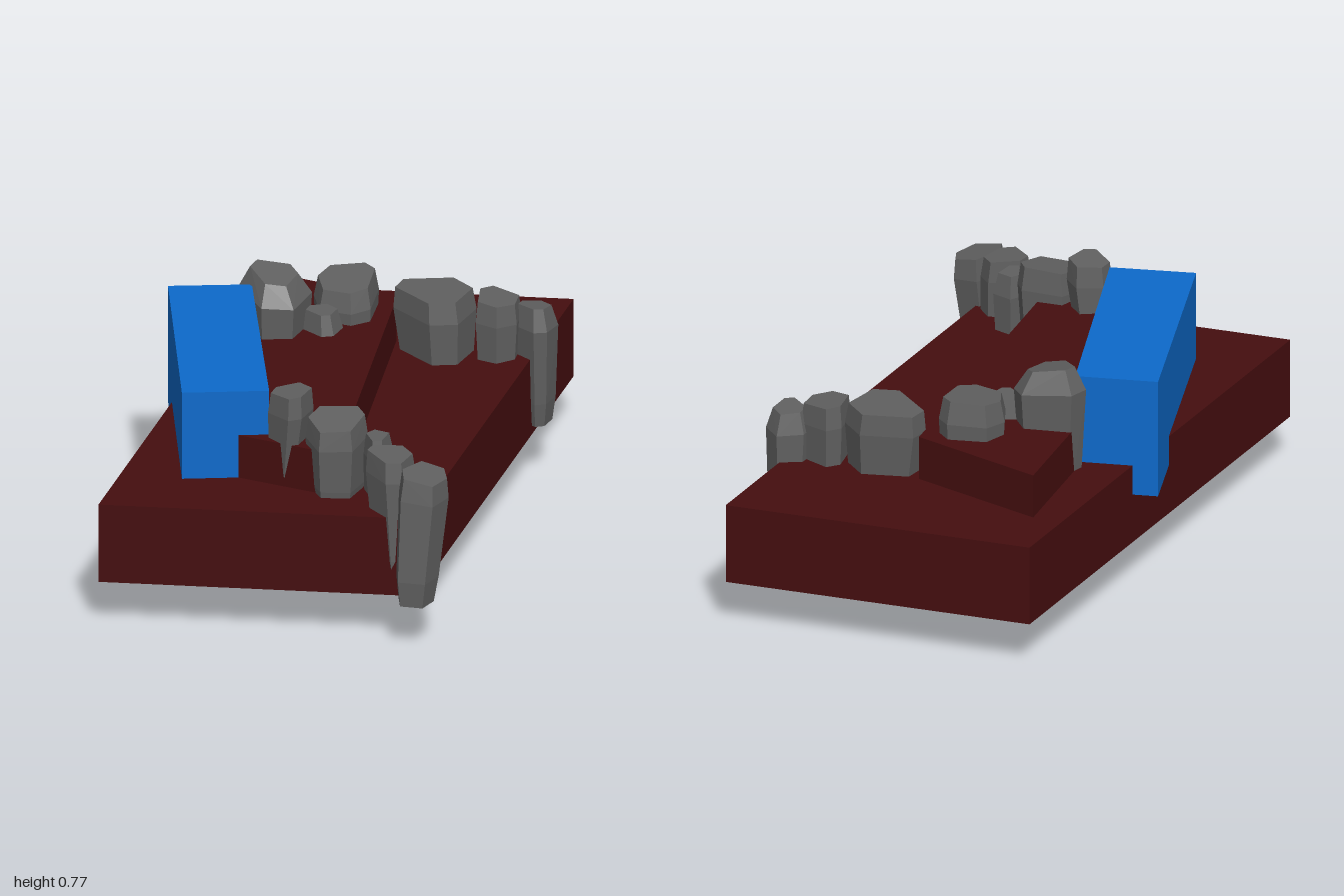
import * as THREE from 'three';
import { ConvexGeometry } from 'three/addons/geometries/ConvexGeometry.js';

const mat = (name, color) => {
  const m = new THREE.MeshStandardMaterial({ color });
  m.name = name;
  return m;
};

// Upright prism over an [x, z] outline
function prism(outline, y0, y1) {
  const shape = new THREE.Shape(outline.map(([x, z]) => new THREE.Vector2(x, -z)));
  const g = new THREE.ExtrudeGeometry(shape, { depth: y1 - y0, bevelEnabled: false });
  return g.rotateX(-Math.PI / 2).translate(0, y0, 0);
}

// Irregular polygon fitted to a unit square around the origin
function unevenPolygon(sides, turn) {
  const pts = [];
  for (let i = 0; i < sides; i++) {
    const a = turn + (i + 0.22 * Math.sin(i * 2.7 + turn * 5)) * Math.PI * 2 / sides;
    pts.push(new THREE.Vector2(Math.cos(a), Math.sin(a)));
  }
  const box = new THREE.Box2().setFromPoints(pts);
  const mid = box.getCenter(new THREE.Vector2());
  const size = box.getSize(new THREE.Vector2());
  return pts.map((p) => p.sub(mid).divide(size));
}

// Faceted stone: bevelled, tilted top; straight body; tapered, leaning foot
function stoneGeometry(x, z, width, depth, top, bottom, options) {
  const { sides = 6, turn = 0.4, cap = 0.9, taper = 0.8, leanX = 0, leanZ = 0, tiltX = 0, tiltZ = 0 } = options;
  const height = top - bottom;
  const levels = [
    { y: top, scale: cap, lean: 0, tilt: 1 },
    { y: top - 0.07, scale: 1, lean: 0.1, tilt: 0.5 },
    { y: bottom + height * 0.2, scale: (1 + taper) / 2, lean: 0.85, tilt: 0 },
    { y: bottom, scale: taper, lean: 1, tilt: 0 },
  ];
  const pts = [];
  for (const p of unevenPolygon(sides, turn)) {
    for (const { y, scale, lean, tilt } of levels) {
      const dx = p.x * width * scale, dz = p.y * depth * scale;
      pts.push(new THREE.Vector3(x + dx + leanX * lean, y + tilt * (dx * tiltX + dz * tiltZ), z + dz + leanZ * lean));
    }
  }
  return new ConvexGeometry(pts);
}

export function createModel() {
  const model = new THREE.Group();
  const earth = mat('dark red earth', 0x450e0f);
  const blue = mat('bright blue', 0x0d6acb);
  const grey = mat('grey stone', 0x606060);

  const add = (parent, name, geometry, material) => {
    const mesh = new THREE.Mesh(geometry, material);
    mesh.name = name;
    parent.add(mesh);
  };
  const stoneRow = (name) => {
    const row = new THREE.Group();
    row.name = name;
    model.add(row);
    return (...size) => {
      const options = typeof size.at(-1) === 'object' ? size.pop() : {};
      add(row, `stone${row.children.length + 1}`, stoneGeometry(...size, options), grey);
    };
  };

  // Ground slab, raised platform and blue box
  add(model, 'groundSlab', prism([[-0.64, -0.68], [-0.4, 1], [0.54, 0.68], [0.3, -1]], 0.17, 0.435), earth);
  add(model, 'raisedPlatform', prism([[-0.52, -0.5], [-0.2, 0.635], [0.25, 0.635], [-0.07, -0.49]], 0.4, 0.58), earth);
  add(model, 'blueBox', prism([[-0.617, 0.02], [-0.245, 0.718], [-0.005, 0.59], [-0.385, -0.1]], 0.335, 0.73), blue);

  // Front row, from the blue box to the slab corner
  const front = stoneRow('frontStones');
  front(0.063, 0.58, 0.125, 0.15, 0.74, 0.4, { taper: 0.5, leanX: -0.02, tiltX: 0.1 });
  front(0.215, 0.583, 0.18, 0.19, 0.675, 0.4, { turn: 0.7, tiltZ: -0.18 });
  front(0.343, 0.557, 0.09, 0.11, 0.63, 0.38, { sides: 5, cap: 0.75 });
  front(0.43, 0.643, 0.14, 0.155, 0.625, 0.2, { turn: 0.5, taper: 0.7, leanX: 0.02, tiltX: -0.12 });
  front(0.565, 0.67, 0.145, 0.17, 0.59, 0.17, { turn: 0.9, taper: 0.7, leanX: -0.01, leanZ: 0.04, tiltX: -0.2 });

  // Rear row, from the slab edge inwards
  const rear = stoneRow('rearStones');
  rear(0.355, -0.59, 0.13, 0.14, 0.6, 0.2, { cap: 0.72, taper: 0.7, leanZ: -0.01, tiltZ: 0.15 });
  rear(0.255, -0.53, 0.15, 0.145, 0.63, 0.38, { turn: 0.1, tiltX: -0.1 });
  rear(0.06, -0.472, 0.24, 0.225, 0.645, 0.01, { turn: 0.5, cap: 0.93, taper: 0.3, leanX: 0.035, leanZ: 0.01 });
  rear(-0.172, -0.345, 0.205, 0.22, 0.695, 0.38, { sides: 7, turn: 0.2, cap: 0.87, tiltZ: -0.12 });
  rear(-0.19, -0.19, 0.12, 0.12, 0.645, 0.15, { cap: 0.75, taper: 0.35, leanX: 0.02 });
  rear(-0.335, -0.143, 0.21, 0.225, 0.765, 0.145, { turn: 0.6, cap: 0.65, taper: 0.55, tiltX: -0.22, tiltZ: -0.1 });
  return model;
}
